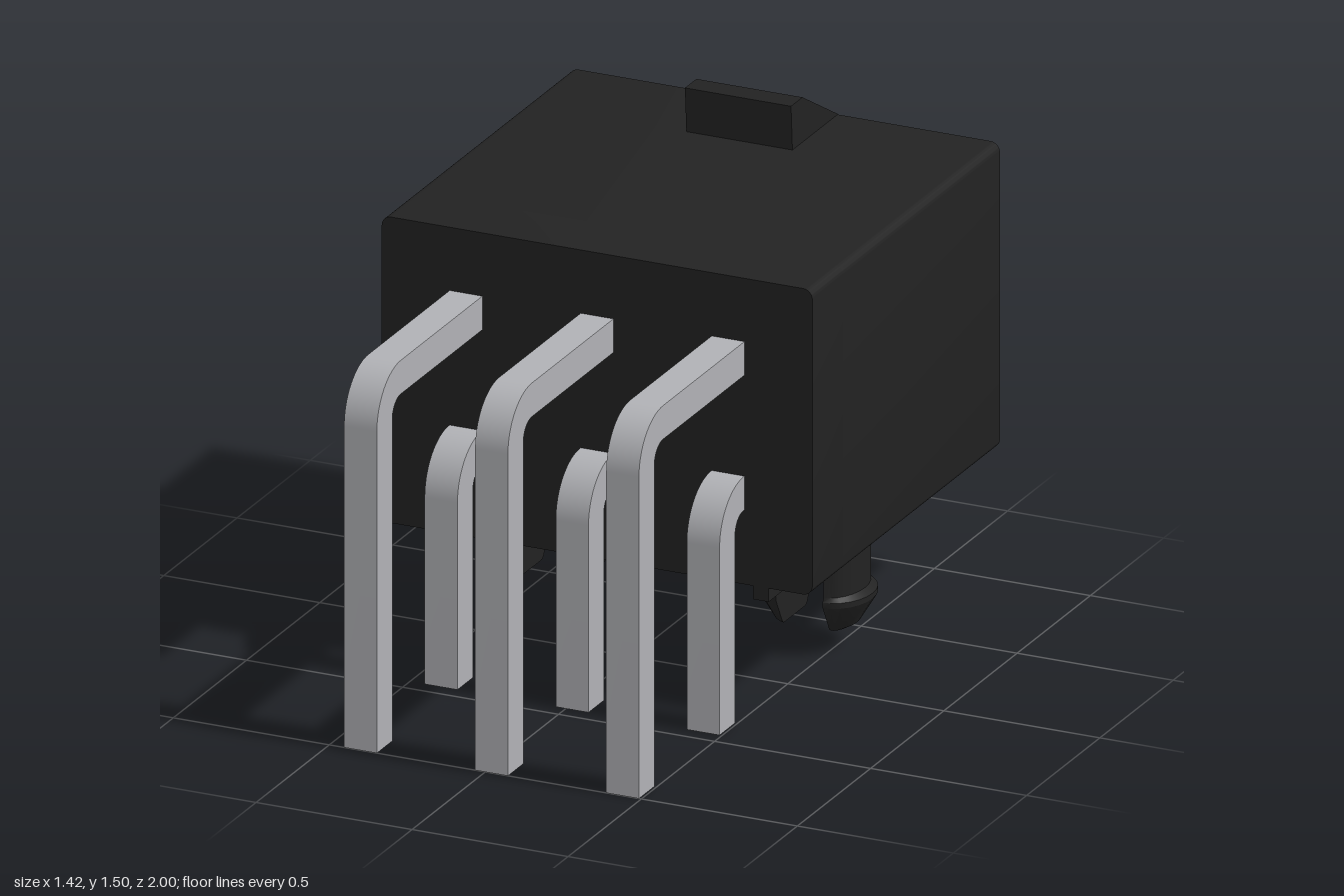
import * as THREE from 'three';
import { toCreasedNormals } from 'three/addons/utils/BufferGeometryUtils.js';

const PIN_X = [-0.4, 0.02, 0.44];
const ROW_Y = [0.695, 1.115];
const BACK = -1, FRONT = 0.28, FLOOR = 0.07;

// Closed outline whose corners are cut: [bottom, top] chamfer
function cellPath(cx, cy, h, cut) {
  const p = new THREE.Path();
  p.moveTo(cx - h, cy + h);
  p.lineTo(cx - h, cy - h + cut);
  if (cut) p.lineTo(cx - h + cut, cy - h);
  p.lineTo(cx + h - cut, cy - h);
  if (cut) p.lineTo(cx + h, cy - h + cut);
  p.lineTo(cx + h, cy + h);
  p.closePath();
  return p;
}

// Housing outline with rounded corners
function housingShape() {
  const l = -0.67, r = 0.71, b = 0.41, t = 1.365, c = 0.03;
  const s = new THREE.Shape();
  s.moveTo(l + c, b);
  s.lineTo(r - c, b);
  s.absarc(r - c, b + c, c, -Math.PI / 2, 0);
  s.lineTo(r, t - c);
  s.absarc(r - c, t - c, c, 0, Math.PI / 2);
  s.lineTo(l + c, t);
  s.absarc(l + c, t - c, c, Math.PI / 2, Math.PI);
  s.lineTo(l, b + c);
  s.absarc(l + c, b + c, c, Math.PI, Math.PI * 1.5);
  return s;
}

function extrudeZ(shape, z0, z1) {
  const g = new THREE.ExtrudeGeometry(shape, { depth: z1 - z0, bevelEnabled: false, curveSegments: 6 });
  g.translate(0, 0, z0);
  return toCreasedNormals(g, 0.6);
}

// Side profile drawn in (z, y), extruded along x and centred on cx
function extrudeX(shape, cx, width) {
  const g = new THREE.ExtrudeGeometry(shape, { depth: width, bevelEnabled: false, curveSegments: 10 });
  g.rotateY(-Math.PI / 2);
  g.translate(cx + width / 2, 0, 0);
  return toCreasedNormals(g, 0.6);
}

// Bent square pin: into the socket, out of the front, down to the board
function pinShape(y, zOuter) {
  const w = 0.105, R = 0.165, r = R - w, top = y + w / 2, tip = -0.55;
  const s = new THREE.Shape();
  s.moveTo(tip, top - w);
  s.lineTo(zOuter - R, top - w);
  s.absarc(zOuter - R, top - R, r, Math.PI / 2, 0, true);
  s.lineTo(zOuter - w, 0);
  s.lineTo(zOuter, 0);
  s.lineTo(zOuter, top - R);
  s.absarc(zOuter - R, top - R, R, 0, Math.PI / 2);
  s.lineTo(tip, top);
  s.closePath();
  return s;
}

// Half of a split snap peg: D-shaped sections [y, depth, half width]
function pegGeometry() {
  const rows = [[0.43, 0.075, 0.123], [0.195, 0.075, 0.123], [0.182, 0.1, 0.13],
    [0.165, 0.1, 0.13], [0.083, 0.05, 0.085], [0.075, 0.035, 0.075]];
  const n = 12, pos = [], idx = [];
  for (const [y, d, h] of rows) {
    for (let i = 0; i <= n; i++) {
      const t = (i / n) * Math.PI;
      pos.push(0.075 + d * Math.sin(t), y, h * Math.cos(t));
    }
  }
  const m = n + 1;
  for (let k = 0; k < rows.length - 1; k++) {
    for (let i = 0; i < m; i++) {
      const j = (i + 1) % m, a = k * m + i, b = k * m + j;
      idx.push(a, a + m, b, b, a + m, b + m);
    }
  }
  const e = (rows.length - 1) * m;
  for (let i = 1; i < n; i++) idx.push(e, e + i + 1, e + i);
  const g = new THREE.BufferGeometry();
  g.setAttribute('position', new THREE.Float32BufferAttribute(pos, 3));
  g.setIndex(idx);
  return toCreasedNormals(g, 0.5);
}

export function createModel() {
  const model = new THREE.Group();
  model.name = 'pinHeader';
  const plastic = new THREE.MeshStandardMaterial({ color: 0x222222, side: THREE.DoubleSide });
  plastic.name = 'blackPlastic';
  const metal = new THREE.MeshStandardMaterial({ color: 0xb0b1b5 });
  metal.name = 'greyMetal';
  const add = (name, geometry, material = plastic, parent = model) => {
    const mesh = new THREE.Mesh(geometry, material);
    mesh.name = name;
    parent.add(mesh);
    return mesh;
  };

  // Housing: six open sockets at the back, solid wall at the front
  const sockets = housingShape();
  ROW_Y.forEach((y, row) => PIN_X.forEach((x, col) => {
    sockets.holes.push(cellPath(x, y, 0.2, row === 0 && col > 0 ? 0.09 : 0));
  }));
  add('socketWalls', extrudeZ(sockets, BACK, FLOOR));
  add('frontWall', extrudeZ(housingShape(), FLOOR, FRONT));

  // Latch ramp on the top
  const latch = new THREE.Shape([[-1, 1.36], [-0.692, 1.36], [-0.682, 1.505], [-0.76, 1.505], [-1, 1.367]]
    .map(([z, y]) => new THREE.Vector2(z, y)));
  add('latch', extrudeX(latch, 0.02, 0.34));

  // Rounded rib along the right side
  const rib = new THREE.CylinderGeometry(0.04, 0.04, FRONT - BACK, 20);
  rib.rotateX(Math.PI / 2);
  add('sideRib', rib).position.set(-0.67, 0.65, (FRONT + BACK) / 2);

  // Standoff rails under the housing
  for (const x of [-0.503, 0.545]) {
    add('standoffRail', new THREE.BoxGeometry(0.05, 0.06, 1.08)).position.set(x, 0.398, -0.26);
  }

  // Split snap pegs
  const half = pegGeometry();
  for (const x of [-0.405, 0.44]) {
    const peg = new THREE.Group();
    peg.name = 'snapPeg';
    peg.position.set(x, 0, -0.335);
    for (const turn of [0, Math.PI]) add('pegHalf', half, plastic, peg).rotation.y = turn;
    model.add(peg);
  }

  // Two rows of bent pins
  for (const x of PIN_X) {
    add('lowerPin', extrudeX(pinShape(ROW_Y[0], 0.45), x, 0.105), metal);
    add('upperPin', extrudeX(pinShape(ROW_Y[1], 1), x, 0.105), metal);
  }
  return model;
}
